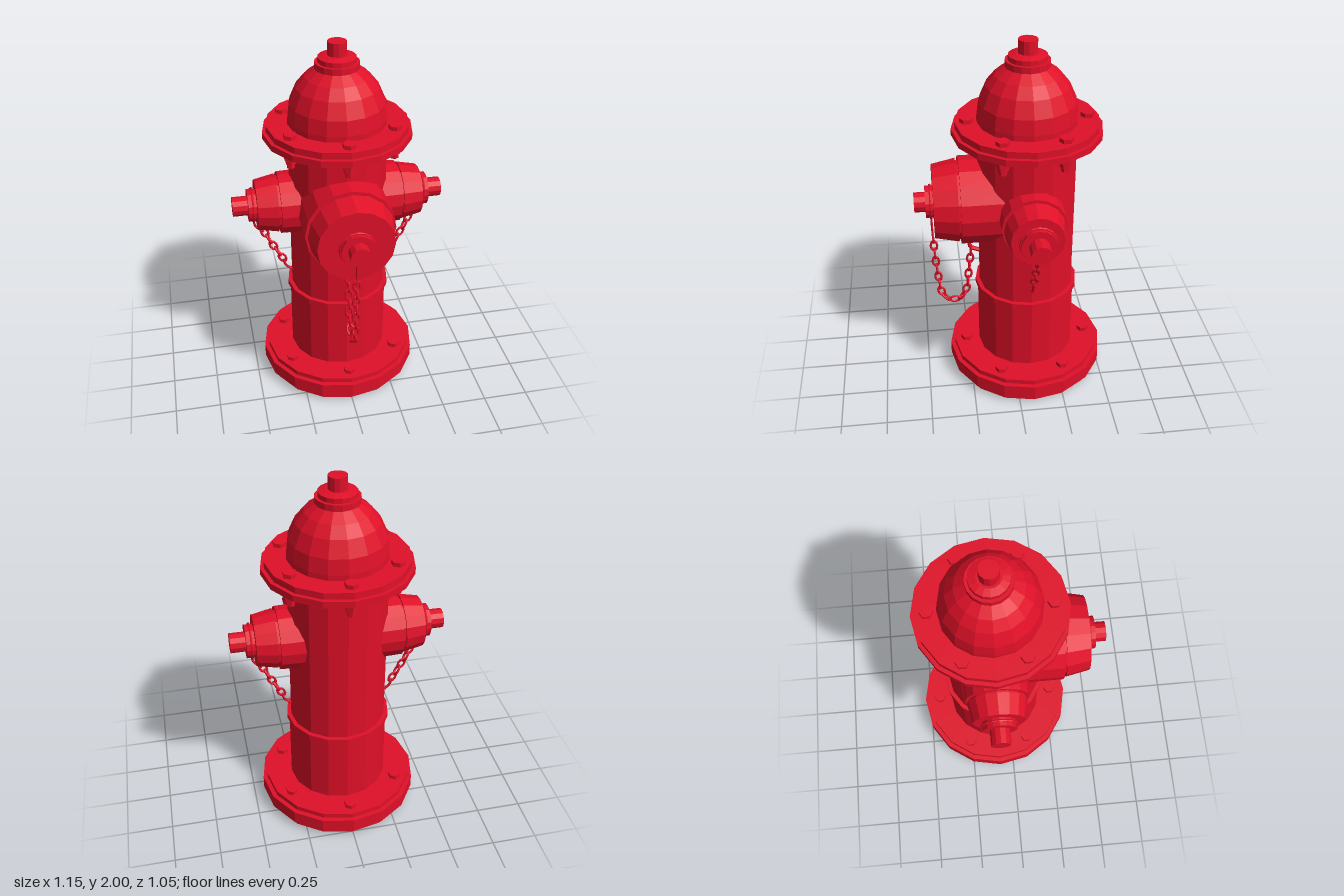
import * as THREE from 'three';

const ZC = -0.083;      // barrel axis
const OUTLET_Y = 1.108; // outlet axis height
const material = new THREE.MeshStandardMaterial({ color: 0xe01028, flatShading: true });

function add(parent, name, geometry, x = 0, y = 0, z = 0) {
  const mesh = new THREE.Mesh(geometry, material);
  mesh.name = name;
  mesh.position.set(x, y, z);
  parent.add(mesh);
  return mesh;
}

const lathe = (profile, sides = 16) =>
  new THREE.LatheGeometry(profile.map(([r, y]) => new THREE.Vector2(r, y)), sides);

// Six stacked-hexagon fasteners on a circle; each layer is [radius, bottom, top]
function boltCircle(parent, name, circleRadius, layers) {
  const group = new THREE.Group();
  group.name = name;
  group.position.z = ZC;
  for (let i = 0; i < 6; i++) {
    const a = (i * Math.PI) / 3;
    for (const [r, y0, y1] of layers) {
      add(group, 'bolt', new THREE.CylinderGeometry(r, r, y1 - y0, 6),
        circleRadius * Math.sin(a), (y0 + y1) / 2, circleRadius * Math.cos(a));
    }
  }
  parent.add(group);
}

// Alternating oval links strung along a curve
function chain(parent, points) {
  const group = new THREE.Group();
  group.name = 'chain';
  const curve = new THREE.CatmullRomCurve3(points.map((p) => new THREE.Vector3(...p)));
  const link = new THREE.TorusGeometry(0.018, 0.0065, 6, 10).scale(1, 1.6, 1);
  const count = Math.round(curve.getLength() / 0.054);
  const up = new THREE.Vector3(0, 1, 0);
  for (let i = 0; i < count; i++) {
    const t = (i + 0.5) / count;
    const mesh = add(group, 'chainLink', link);
    mesh.position.copy(curve.getPointAt(t));
    mesh.quaternion.setFromUnitVectors(up, curve.getTangentAt(t));
    mesh.rotateY(i % 2 ? Math.PI / 2 : 0);
  }
  parent.add(group);
}

function wire(parent, name, points, radius = 0.007) {
  const curve = new THREE.CatmullRomCurve3(points.map((p) => new THREE.Vector3(...p)));
  add(parent, name, new THREE.TubeGeometry(curve, 10, radius, 6));
}

export function createModel() {
  const hydrant = new THREE.Group();
  hydrant.name = 'fireHydrant';

  // Stepped base plate
  add(hydrant, 'base', lathe([
    [0, 0], [0.42, 0], [0.42, 0.037], [0.445, 0.037], [0.445, 0.115],
    [0.42, 0.115], [0.42, 0.143], [0, 0.143],
  ]), 0, 0, ZC);
  boltCircle(hydrant, 'baseBolts', 0.35, [[0.034, 0.14, 0.167]]);

  // Barrel with its joint ring
  add(hydrant, 'barrel', lathe([
    [0.275, 0.14], [0.275, 0.55], [0.288, 0.55], [0.288, 0.58], [0.265, 0.58], [0.265, 1.5],
  ]), 0, 0, ZC);

  // Bolted flange under the bonnet
  add(hydrant, 'flange', lathe([
    [0.26, 1.485], [0.37, 1.485], [0.37, 1.5], [0.395, 1.5], [0.395, 1.535],
    [0.375, 1.535], [0.375, 1.57], [0.2, 1.57],
  ]), 0, 0, ZC);
  boltCircle(hydrant, 'flangeBolts', 0.313, [
    [0.036, 1.565, 1.592], [0.038, 1.455, 1.49], [0.03, 1.43, 1.46], [0.023, 1.405, 1.435],
  ]);

  // Domed bonnet, collars and operating nut
  add(hydrant, 'bonnet', lathe([
    [0.262, 1.565], [0.262, 1.6], [0.252, 1.68], [0.215, 1.765], [0.17, 1.82], [0.11, 1.863],
  ]), 0, 0, ZC);
  add(hydrant, 'bonnetCollar', lathe([
    [0, 1.862], [0.116, 1.862], [0.116, 1.895], [0.1, 1.895], [0.1, 1.92], [0.062, 1.93], [0, 1.93],
  ]), 0, 0, ZC);
  add(hydrant, 'operatingNut', new THREE.CylinderGeometry(0.05, 0.05, 0.08, 12), 0, 1.96, ZC);

  // Large front outlet with cap
  const front = new THREE.Group();
  front.name = 'frontOutlet';
  front.position.y = OUTLET_Y;
  front.rotation.x = Math.PI / 2;
  add(front, 'outletNeck', lathe([[0.24, 0], [0.24, 0.282], [0.215, 0.282], [0.215, 0.297]]));
  add(front, 'outletCap', lathe([[0.2, 0.295], [0.228, 0.295], [0.202, 0.423], [0, 0.423]]));
  add(front, 'capCollar', lathe([[0.088, 0.42], [0.088, 0.465], [0, 0.465]]));
  add(front, 'capNut', lathe([[0.054, 0.46], [0.054, 0.525], [0, 0.525]], 12));
  add(front, 'chainRing', new THREE.TorusGeometry(0.09, 0.007, 6, 16).rotateX(Math.PI / 2), 0, 0.437, 0);
  hydrant.add(front);

  // Front chain, its hook and the lug on the barrel
  wire(hydrant, 'chainHook', [[0, 1.02, 0.437], [0, 0.95, 0.436], [0, 0.88, 0.434]]);
  chain(hydrant, [
    [0, 0.9, 0.434], [0, 0.75, 0.428], [0, 0.6, 0.415], [0, 0.49, 0.398], [0, 0.445, 0.36],
    [0, 0.445, 0.3], [0, 0.5, 0.262], [0, 0.63, 0.243], [0, 0.8, 0.225],
  ]);
  wire(hydrant, 'chainLug', [[0, 0.87, 0.17], [0, 0.85, 0.23], [0, 0.8, 0.23], [0, 0.77, 0.17]], 0.012);

  // Smaller side outlets with their chains
  for (const s of [1, -1]) {
    const side = new THREE.Group();
    side.name = s > 0 ? 'leftOutlet' : 'rightOutlet';
    side.position.set(0, OUTLET_Y, ZC);
    side.rotation.z = (-s * Math.PI) / 2;
    add(side, 'outletNeck', lathe([[0.176, 0.1], [0.17, 0.327], [0.15, 0.327], [0.15, 0.342]]));
    add(side, 'outletCap', lathe([[0.14, 0.34], [0.16, 0.34], [0.138, 0.45], [0, 0.45]]));
    add(side, 'capCollar', lathe([[0.09, 0.445], [0.09, 0.495], [0, 0.495]]));
    add(side, 'capNut', lathe([[0.053, 0.49], [0.053, 0.577], [0, 0.577]], 12));
    add(side, 'chainRing', new THREE.TorusGeometry(0.092, 0.007, 6, 16).rotateX(Math.PI / 2), 0, 0.468, 0);
    hydrant.add(side);

    wire(hydrant, 'chainHook', [[s * 0.468, 1.015, ZC], [s * 0.458, 0.97, ZC], [s * 0.415, 0.93, ZC]]);
    chain(hydrant, [[s * 0.42, 0.945, ZC], [s * 0.375, 0.85, ZC], [s * 0.305, 0.72, ZC]]);
    wire(hydrant, 'chainLug', [[s * 0.315, 0.735, ZC], [s * 0.3, 0.69, ZC], [s * 0.255, 0.65, ZC]]);
  }

  return hydrant;
}
